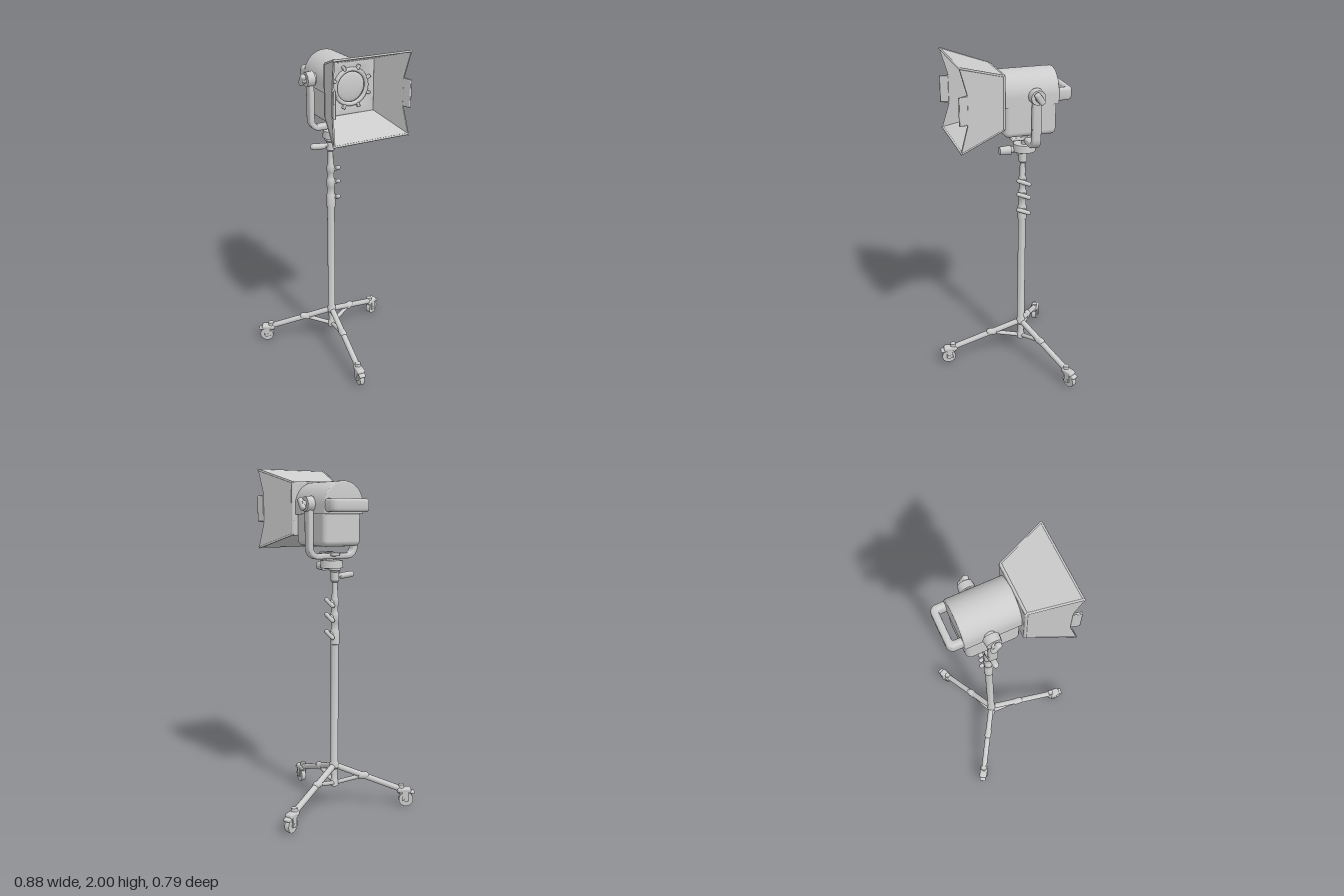
import * as THREE from 'three';
import { RoundedBoxGeometry } from 'three/addons/geometries/RoundedBoxGeometry.js';
import { toCreasedNormals } from 'three/addons/utils/BufferGeometryUtils.js';

const grey = new THREE.MeshStandardMaterial({ color: 0xcccccc });
const V = (x, y, z) => new THREE.Vector3(x, y, z);
const UP = V(0, 1, 0);

function add(parent, name, geo, x = 0, y = 0, z = 0) {
  const m = new THREE.Mesh(geo, grey);
  m.name = name;
  m.position.set(x, y, z);
  parent.add(m);
  return m;
}

// round bar between two points; capsule ends when round is true
function bar(parent, name, a, b, r, r2 = r, round = false, sides = 20) {
  const len = a.distanceTo(b);
  const geo = round ? new THREE.CapsuleGeometry(r, len, 6, sides) : new THREE.CylinderGeometry(r2, r, len, sides);
  const m = add(parent, name, geo);
  m.position.copy(a).lerp(b, 0.5);
  m.quaternion.setFromUnitVectors(UP, b.clone().sub(a).normalize());
  return m;
}

function extrude(shape, depth, bevel) {
  const geo = new THREE.ExtrudeGeometry(shape, {
    depth: depth - 2 * bevel, bevelEnabled: bevel > 0, bevelSize: bevel, bevelOffset: -bevel,
    bevelThickness: bevel, bevelSegments: 3, curveSegments: 16,
  });
  geo.translate(0, 0, bevel - depth / 2);
  return toCreasedNormals(geo, 0.6);
}

// U-shaped bracket: open upwards, base on y = 0, rounded outer and inner corners
function uShape(w, h, t, r) {
  const s = new THREE.Shape(), i = w - t, ri = Math.max(r - t, 0.012);
  s.moveTo(-w, h);
  s.lineTo(-w, r);
  s.absarc(-w + r, r, r, Math.PI, 1.5 * Math.PI);
  s.absarc(w - r, r, r, 1.5 * Math.PI, 2 * Math.PI);
  s.lineTo(w, h);
  s.lineTo(i, h);
  s.lineTo(i, t + ri);
  s.absarc(i - ri, t + ri, ri, 0, -Math.PI / 2, true);
  s.absarc(-i + ri, t + ri, ri, -Math.PI / 2, -Math.PI, true);
  s.lineTo(-i, h);
  return s;
}

// wheel, fork and brake; local +z points away from the stand
function caster(parent, x, z, angle) {
  const g = new THREE.Group();
  g.name = 'caster';
  g.position.set(x, 0, z);
  g.rotation.y = angle;
  parent.add(g);
  bar(g, 'wheel', V(-0.014, 0.043, 0), V(0.014, 0.043, 0), 0.043, 0.043, false, 28);
  bar(g, 'axle', V(-0.025, 0.043, 0), V(0.025, 0.043, 0), 0.013);
  for (const s of [-1, 1]) add(g, 'forkCheek', new RoundedBoxGeometry(0.008, 0.065, 0.04, 2, 0.003), s * 0.02, 0.068, -0.006);
  add(g, 'forkCrown', new RoundedBoxGeometry(0.05, 0.03, 0.085, 3, 0.012), 0, 0.1, -0.012);
  const brake = add(g, 'brakePedal', new RoundedBoxGeometry(0.04, 0.018, 0.06, 3, 0.008), 0, 0.09, 0.022);
  brake.rotation.x = 0.25;
  bar(g, 'stem', V(0, 0.08, -0.03), V(0, 0.133, -0.03), 0.021, 0.017);
}

function makeStand() {
  const g = new THREE.Group();
  g.name = 'stand';
  const px = -0.023, pz = -0.125;

  // telescoping column
  const profile = [[0, 0.13], [0.025, 0.13], [0.025, 0.16], [0.02, 0.17], [0.02, 0.235], [0.028, 0.245], [0.028, 0.27],
    [0.023, 0.28], [0.023, 0.99], [0.027, 0.992], [0.027, 1.07], [0.022, 1.08], [0.022, 1.12], [0.025, 1.125],
    [0.025, 1.17], [0.02, 1.18], [0.02, 1.215], [0.023, 1.22], [0.023, 1.255], [0.018, 1.27], [0.016, 1.35],
    [0.025, 1.36], [0.025, 1.41], [0.033, 1.42], [0.033, 1.445], [0, 1.445]];
  const column = new THREE.LatheGeometry(profile.map(([r, y]) => new THREE.Vector2(r, y)), 24);
  add(g, 'column', toCreasedNormals(column, 0.6), px, 0, pz);

  // wing screws that lock the column sections
  for (const y of [1.05, 1.15, 1.235]) {
    bar(g, 'clampBoss', V(px, y, pz), V(0.012, y, pz), 0.017);
    bar(g, 'clampWing', V(0.012, y + 0.014, pz + 0.034), V(0.012, y - 0.014, pz - 0.03), 0.013, 0.013, true, 12);
  }

  // legs, braces and casters
  for (const [x, z] of [[-0.39, -0.355], [0.385, -0.31], [-0.075, 0.345]]) {
    const dir = V(x - px, 0, z - pz).normalize();
    const top = V(px, 0.258, pz), foot = V(x, 0.1, z).addScaledVector(dir, -0.02);
    const joint = top.clone().lerp(foot, 0.42);
    bar(g, 'leg', top, foot, 0.018, 0.018, true, 14);
    bar(g, 'brace', V(px, 0.145, pz), joint, 0.013, 0.013, true, 12);
    bar(g, 'braceJoint', joint.clone().addScaledVector(dir, -0.014), joint.clone().addScaledVector(dir, 0.014), 0.022, 0.022, true, 14);
    caster(g, x, z, Math.atan2(dir.x, dir.z));
  }

  // mounting head with its locking knobs
  bar(g, 'mountHead', V(0, 1.435, pz), V(0, 1.478, pz), 0.066, 0.062, false, 28);
  bar(g, 'mountBolt', V(0.012, 1.47, pz), V(0.012, 1.528, pz), 0.022, 0.02);
  bar(g, 'tiltScrew', V(-0.008, 1.44, pz), V(-0.008, 1.44, -0.04), 0.017);
  bar(g, 'tiltKnob', V(-0.008, 1.44, -0.045), V(-0.008, 1.44, 0.02), 0.028, 0.024, false, 10);
  bar(g, 'spigotScrew', V(px, 1.39, pz), V(-0.08, 1.39, pz), 0.013);
  bar(g, 'spigotLever', V(-0.07, 1.387, pz), V(-0.135, 1.394, pz), 0.018, 0.018, true, 14);
  return g;
}

function makeYoke() {
  const g = new THREE.Group();
  g.name = 'yoke';
  g.position.set(0.01, 0, -0.14);
  add(g, 'yokeBracket', extrude(uShape(0.165, 0.325, 0.032, 0.065), 0.052, 0.009), 0, 1.487, 0);
  add(g, 'yokePlate', new RoundedBoxGeometry(0.05, 0.02, 0.15, 2, 0.006), 0, 1.513, 0.025);
  for (const s of [-1, 1]) {
    bar(g, 'yokePivot', V(s * 0.11, 1.79, 0), V(s * 0.14, 1.79, 0), 0.03);
    bar(g, 'pivotDisc', V(s * 0.135, 1.79, 0), V(s * 0.178, 1.79, 0), 0.045, 0.041, false, 12);
    bar(g, 'pivotScrew', V(s * 0.17, 1.79, 0), V(s * 0.2, 1.79, 0), 0.02);
    const wing = add(g, 'pivotWing', new RoundedBoxGeometry(0.03, 0.075, 0.034, 3, 0.013), s * 0.197, 1.79, 0);
    wing.rotation.x = 0.6;
  }
  return g;
}

function makeHousing() {
  const g = new THREE.Group();
  g.name = 'lampHousing';
  g.position.set(0.016, 0, 0);

  // rounded lid over a box-shaped lower body
  const lid = new THREE.Shape();
  lid.moveTo(-0.128, 1.735);
  lid.lineTo(0.128, 1.735);
  lid.lineTo(0.128, 1.787);
  lid.absarc(0, 1.787, 0.128, 0, Math.PI);
  lid.lineTo(-0.128, 1.735);
  add(g, 'lid', extrude(lid, 0.315, 0.008), 0, 0, -0.118);
  add(g, 'lowerBody', new RoundedBoxGeometry(0.246, 0.24, 0.3, 4, 0.03), 0, 1.68, -0.117);
  const handle = extrude(uShape(0.124, 0.13, 0.038, 0.036), 0.072, 0.016);
  handle.rotateX(Math.PI / 2);
  add(g, 'rearHandle', handle, 0, 1.783, -0.356);
  return g;
}

function makeFront() {
  const g = new THREE.Group();
  g.name = 'barnDoors';
  g.position.set(0.01, 1.768, 0);

  // square frame with a round opening, lens and retaining clips
  const frame = new THREE.Shape([[-1, -1], [1, -1], [1, 1], [-1, 1]].map(([x, y]) => new THREE.Vector2(x * 0.146, y * 0.146)));
  frame.holes.push(new THREE.Path().absarc(0, 0.008, 0.1, 0, 2 * Math.PI, true));
  add(g, 'frame', extrude(frame, 0.024, 0.003), 0, 0, 0.045);
  add(g, 'lensRing', new THREE.TorusGeometry(0.096, 0.012, 10, 40), 0, 0.008, 0.06);
  const lens = new THREE.SphereGeometry(0.09, 32, 10, 0, 2 * Math.PI, 0, Math.PI / 2);
  lens.rotateX(Math.PI / 2);
  lens.scale(1, 1, 0.2);
  add(g, 'lens', lens, 0, 0.008, 0.043);
  for (let i = 0; i < 8; i++) {
    const a = (i + 0.5) * Math.PI / 4;
    const clip = add(g, 'lensClip', new RoundedBoxGeometry(0.028, 0.018, 0.022, 2, 0.005), 0.113 * Math.cos(a), 0.008 + 0.113 * Math.sin(a), 0.062);
    clip.rotation.z = a;
  }

  // four flaps: plain above and below, stepped with a centre tab at the sides
  const L = 0.272, lean = Math.atan2(0.26, 0.08);
  const plain = [[-0.148, 0], [0.148, 0], [0.229, L], [-0.229, L]];
  const tabbed = [[-0.148, 0], [0.148, 0], [0.229, L], [0.08, L - 0.045], [0.075, L + 0.005],
    [-0.075, L + 0.005], [-0.08, L - 0.045], [-0.229, L]];
  for (let i = 0; i < 4; i++) {
    const flap = new THREE.Group();
    flap.name = 'flap';
    flap.rotation.z = i * Math.PI / 2;
    g.add(flap);
    const pivot = new THREE.Group();
    pivot.name = 'flapHinge';
    pivot.position.set(0, 0.146, 0.042);
    pivot.rotation.x = lean;
    flap.add(pivot);
    const pts = (i % 2 ? tabbed : plain).map(([x, y]) => new THREE.Vector2(x, y));
    add(pivot, 'flapPanel', extrude(new THREE.Shape(pts), 0.008, 0));
    bar(pivot, 'hingeRod', V(-0.14, 0, 0), V(0.14, 0, 0), 0.008, 0.008, true, 10);
    bar(pivot, 'cornerBead', V(0.146, 0, 0), V(0.228, L - 0.004, 0), 0.006, 0.006, true, 8);
    if (i % 2 === 0) bar(pivot, 'edgeBead', V(-0.226, L - 0.004, 0), V(0.226, L - 0.004, 0), 0.006, 0.006, true, 8);
    else add(pivot, 'flapTab', new RoundedBoxGeometry(0.15, 0.05, 0.016, 2, 0.005), 0, L - 0.02, 0);
  }
  return g;
}

export function createModel() {
  const model = new THREE.Group();
  model.name = 'studioLamp';
  model.add(makeStand(), makeYoke(), makeHousing(), makeFront());
  return model;
}
